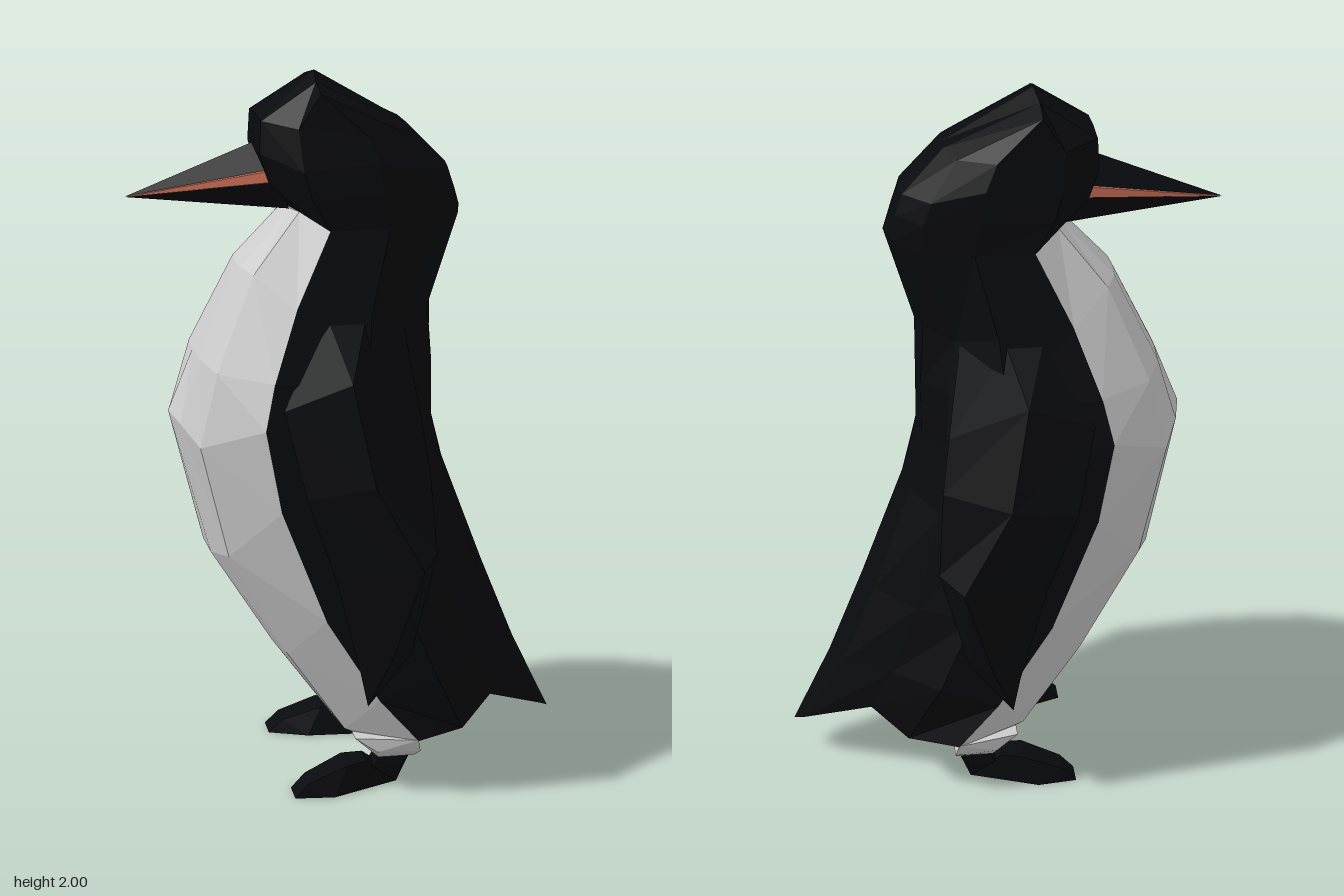
import * as THREE from 'three';
import { ConvexGeometry } from 'three/addons/geometries/ConvexGeometry.js';

const mat = (color) => new THREE.MeshStandardMaterial({ color, flatShading: true, side: THREE.DoubleSide });

// Skin rows of points (top to bottom, front to back on the +z side) and mirror them to -z
function loft(rows, sides = [1, -1]) {
  const pos = [];
  for (const s of sides) {
    const tri = (a, b, c) => {
      for (const p of s > 0 ? [a, b, c] : [a, c, b]) pos.push(p[0], p[1], p[2] * s);
    };
    for (let r = 0; r < rows.length - 1; r++) {
      for (let c = 0; c < rows[r].length - 1; c++) {
        const a = rows[r][c], b = rows[r + 1][c], d = rows[r + 1][c + 1], e = rows[r][c + 1];
        tri(a, b, d);
        tri(a, d, e);
      }
    }
  }
  const g = new THREE.BufferGeometry();
  g.setAttribute('position', new THREE.Float32BufferAttribute(pos, 3));
  g.computeVertexNormals();
  return g;
}

// Convex solid; each [x, y, halfWidth, outward shift] gives a pair of corners about z = z0
function hull(points, z0 = 0) {
  const v = [];
  for (const [x, y, w, out = 0] of points) {
    const z = z0 + Math.sign(z0) * out;
    v.push(new THREE.Vector3(x, y, z + w));
    if (w > 0) v.push(new THREE.Vector3(x, y, z - w));
  }
  return new ConvexGeometry(v);
}

export function createModel() {
  const model = new THREE.Group();
  const black = mat(0x090a0d), white = mat(0xcccccc), orange = mat(0xd9785c);
  const add = (name, geometry, material) => {
    const m = new THREE.Mesh(geometry, material);
    m.name = name;
    model.add(m);
  };

  // Pale belly: centre line, inner line, outer line, edge of the dark coat
  const belly = [
    [[-0.17, 1.64, 0], [-0.165, 1.64, 0.05], [-0.15, 1.64, 0.1], [-0.08, 1.6, 0.175]],
    [[-0.31, 1.49, 0], [-0.305, 1.49, 0.07], [-0.28, 1.48, 0.13], [-0.18, 1.4, 0.22]],
    [[-0.43, 1.25, 0], [-0.425, 1.25, 0.1], [-0.39, 1.23, 0.19], [-0.25, 1.22, 0.28]],
    [[-0.5, 1.08, 0], [-0.48, 1.07, 0.1], [-0.44, 1.03, 0.2], [-0.28, 1.1, 0.31]],
    [[-0.41, 0.7, 0], [-0.405, 0.7, 0.11], [-0.37, 0.72, 0.21], [-0.24, 0.87, 0.315]],
    [[-0.24, 0.43, 0], [-0.24, 0.43, 0.12], [-0.21, 0.42, 0.21], [-0.12, 0.55, 0.315]],
    [[-0.07, 0.2, 0], [-0.07, 0.19, 0.13], [-0.05, 0.18, 0.21], [0.03, 0.3, 0.31]],
    [[0.06, 0.2, 0], [0.04, 0.14, 0.13], [0.05, 0.13, 0.21], [0.14, 0.17, 0.31]],
  ];
  add('belly', loft(belly), white);

  // Dark coat: flank, back edge, beside the spine, spine, ending in the tail
  const coat = [
    [[0.08, 1.6, 0.18], [0.22, 1.6, 0.135], [0.29, 1.61, 0.07], [0.31, 1.62, 0]],
    [[0.02, 1.38, 0.23], [0.13, 1.35, 0.155], [0.21, 1.36, 0.065], [0.23, 1.36, 0]],
    [[0, 1.2, 0.28], [0.15, 1.2, 0.17], [0.22, 1.2, 0.075], [0.23, 1.2, 0]],
    [[0, 1.05, 0.3], [0.16, 1.05, 0.19], [0.22, 1.05, 0.08], [0.23, 1.05, 0]],
    [[0.02, 0.85, 0.31], [0.18, 0.86, 0.21], [0.255, 0.88, 0.09], [0.27, 0.9, 0]],
    [[0.1, 0.58, 0.31], [0.25, 0.57, 0.215], [0.36, 0.58, 0.1], [0.39, 0.58, 0]],
    [[0.19, 0.36, 0.31], [0.32, 0.36, 0.2], [0.45, 0.35, 0.095], [0.49, 0.33, 0]],
    [[0.28, 0.17, 0.25], [0.38, 0.23, 0.17], [0.57, 0.13, 0.05], [0.6, 0.1, 0]],
  ];
  const back = coat.map((row, i) => [belly[i][3], ...row]);
  add('backAndTail', loft(back), black);

  // Underside closing the body below
  const rim = [...belly[7].slice(0, 3), ...back[7]];
  add('underside', loft([rim, rim.map(() => [0.3, 0.22, 0])]), black);

  // Head: centre, face corner, cheek, side, nape edge, beside the spine, spine
  const crown = [-0.09, 2, 0], ridge = [-0.1, 1.98, 0.08], corner = [-0.1, 1.96, 0.15];
  const head = [
    [crown, ridge, corner, corner, corner, ridge, crown],
    [[-0.25, 1.89, 0], [-0.25, 1.885, 0.095], [-0.16, 1.87, 0.155], [0.02, 1.85, 0.175], [0.12, 1.85, 0.13], [0.15, 1.86, 0.06], [0.15, 1.86, 0]],
    [[-0.26, 1.81, 0], [-0.255, 1.8, 0.1], [-0.15, 1.76, 0.178], [0.05, 1.78, 0.19], [0.19, 1.74, 0.15], [0.26, 1.74, 0.07], [0.27, 1.74, 0]],
    [[-0.23, 1.72, 0], [-0.23, 1.72, 0.09], [-0.13, 1.69, 0.18], [0.06, 1.69, 0.187], [0.21, 1.68, 0.147], [0.28, 1.68, 0.07], [0.29, 1.68, 0]],
    [belly[0][0], ...belly[0].slice(2), ...coat[0]],
  ];
  add('head', loft(head), black);

  // Beak halves with a coloured stripe between them on each side
  add('upperBeak', hull([[-0.6, 1.68, 0], [-0.2, 1.835, 0], [-0.2, 1.76, 0.097]]), black);
  add('lowerBeak', hull([[-0.6, 1.678, 0], [-0.2, 1.72, 0.09], [-0.2, 1.76, 0.05], [-0.17, 1.64, 0.055]]), black);
  add('beakStripe', hull([[-0.598, 1.679, 0.002], [-0.23, 1.75, 0.09], [-0.225, 1.72, 0.09]]), orange);

  // Flippers: front edge, outer ridge, rear edge, inner face
  const flipper = [
    [[-0.1, 1.38, 0.22], [0, 1.36, 0.235], [0.12, 1.34, 0.165], [0, 1.33, 0.2]],
    [[-0.23, 1.15, 0.3], [-0.05, 1.22, 0.325], [0.155, 1.1, 0.23], [0, 1.15, 0.25]],
    [[-0.18, 0.92, 0.365], [0, 0.95, 0.392], [0.175, 0.95, 0.265], [0, 0.95, 0.27]],
    [[-0.1, 0.68, 0.345], [0.13, 0.71, 0.405], [0.19, 0.72, 0.3], [0.05, 0.7, 0.3]],
    [[-0.03, 0.4, 0.33], [0.05, 0.45, 0.375], [0.11, 0.45, 0.34], [0.04, 0.43, 0.31]],
    Array(4).fill([-0.01, 0.3, 0.335]),
  ].map((row) => [...row, row[0]]);

  // Flippers, thighs, ankles and webbed feet with the toes turned out
  for (const [side, s] of [['left', 1], ['right', -1]]) {
    add(side + 'Flipper', loft(flipper, [s]), black);
    add(side + 'Thigh', hull([[-0.03, 0.17, 0.06], [0.14, 0.172, 0.11], [0.03, 0.13, 0.075], [0.15, 0.13, 0.09], [0.04, 0.1, 0.045], [0.14, 0.1, 0.05]], s * 0.2), white);
    add(side + 'Ankle', hull([[0.07, 0.13, 0.035], [0.15, 0.13, 0.035], [0.03, 0.06, 0.035], [0.11, 0.06, 0.035], [0.1, 0, 0.04, -0.03]], s * 0.19), black);
    add(side + 'Foot', hull([[-0.2, 0, 0.035, 0.03], [-0.16, 0.04, 0.035, 0.025], [-0.09, 0, 0.065, 0.015], [-0.05, 0.08, 0.045, 0.01], [0.01, 0.08, 0.035], [0.1, 0, 0.04, -0.03]], s * 0.19), black);
  }
  return model;
}
